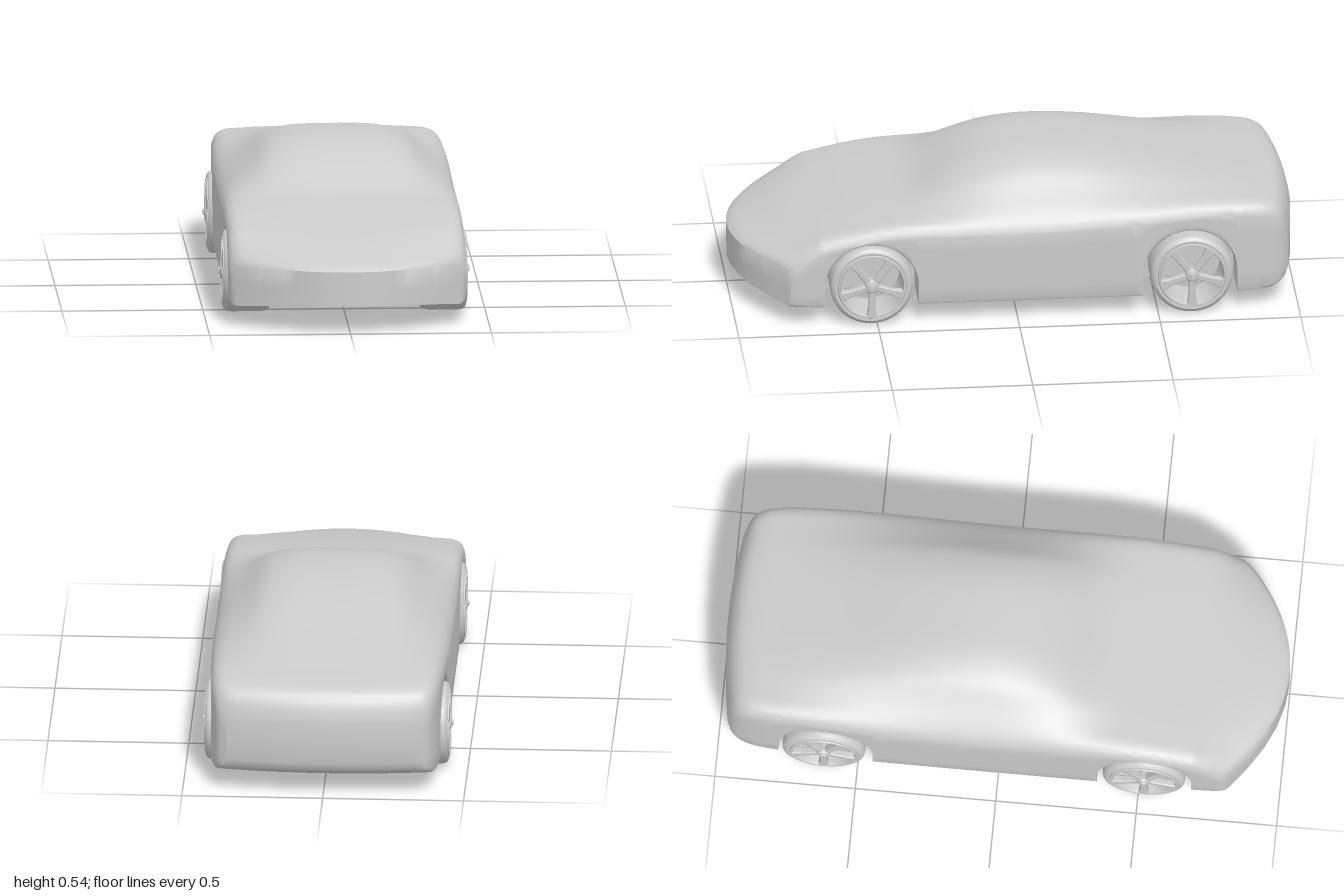
import * as THREE from 'three';
import { toCreasedNormals } from 'three/addons/utils/BufferGeometryUtils.js';

const grey = new THREE.MeshStandardMaterial({ color: 0xcccccc });

// Smooth interpolation through [x, y] points sorted by x
function curve(pts) {
  const slope = (i) => {
    const a = pts[Math.max(i - 1, 0)], b = pts[Math.min(i + 1, pts.length - 1)];
    return (b[1] - a[1]) / (b[0] - a[0]);
  };
  return (x) => {
    if (x <= pts[0][0]) return pts[0][1];
    let i = 0;
    while (i < pts.length - 2 && x > pts[i + 1][0]) i++;
    const [x0, y0] = pts[i], [x1, y1] = pts[i + 1], w = x1 - x0;
    const t = Math.min((x - x0) / w, 1), t2 = t * t, t3 = t2 * t;
    return (2 * t3 - 3 * t2 + 1) * y0 + (t3 - 2 * t2 + t) * w * slope(i)
      + (3 * t2 - 2 * t3) * y1 + (t3 - t2) * w * slope(i + 1);
  };
}

// Body outlines along z
const topLine = curve([[-1, 0.28], [-0.99, 0.325], [-0.975, 0.36], [-0.95, 0.387], [-0.9, 0.403], [-0.8, 0.42],
  [-0.6, 0.458], [-0.4, 0.503], [-0.3, 0.522], [-0.2, 0.535], [-0.1, 0.54], [0, 0.535], [0.1, 0.515], [0.2, 0.475],
  [0.3, 0.42], [0.35, 0.397], [0.4, 0.382], [0.5, 0.364], [0.6, 0.345], [0.8, 0.298], [0.9, 0.265], [0.98, 0.237], [1, 0.222]]);
const beltLine = curve([[-1, 0.275], [-0.99, 0.32], [-0.975, 0.355], [-0.95, 0.38], [-0.9, 0.397], [-0.7, 0.405],
  [-0.4, 0.385], [-0.1, 0.37], [0.2, 0.368], [0.4, 0.368], [0.5, 0.358], [0.6, 0.34], [0.8, 0.293], [0.9, 0.262], [0.98, 0.235], [1, 0.22]]);
const halfWidth = curve([[-1, 0.345], [-0.985, 0.368], [-0.96, 0.383], [-0.9, 0.397], [-0.8, 0.406], [-0.6, 0.415],
  [-0.4, 0.42], [0.9, 0.42], [0.97, 0.418], [1, 0.412]]);
const floorLine = curve([[-1, 0.13], [-0.99, 0.105], [-0.97, 0.086], [-0.93, 0.07], [-0.85, 0.065], [0.6, 0.065], [0.7, 0.067], [1, 0.1]]);

// Cross-section rules over x: cabin bulge and shoulder rounding
const bulge = curve([[0, 1], [0.06, 0.998], [0.13, 0.98], [0.19, 0.91], [0.25, 0.76], [0.32, 0.41], [0.38, 0.12], [0.41, 0.01], [0.42, 0]]);
const shoulder = curve([[0, 0], [0.36, 0], [0.385, -0.004], [0.4, -0.011], [0.412, -0.024], [0.42, -0.045]]);
const upperX = [0.42, 0.417, 0.412, 0.406, 0.4, 0.39, 0.38, 0.365, 0.35, 0.335, 0.32, 0.3, 0.28, 0.26, 0.24, 0.22, 0.19, 0.16, 0.13, 0.09, 0.045, 0];

const arches = [{ z: 0.52, y: 0.13, r: 0.168 }, { z: -0.615, y: 0.14, r: 0.168 }];
const wellX = 0.24;

function section(z) {
  const W = halfWidth(z), k = W / 0.42, base = floorLine(z);
  const floorAt = (x) => z > 0 ? 0.065 + (base - 0.065) * (1 - 0.8 * (x / 0.42) ** 2) : base;
  const arch = arches.find((a) => Math.abs(z - a.z) < a.r);
  const lift = arch ? arch.y + Math.sqrt(arch.r ** 2 - (z - arch.z) ** 2) : 0;
  const edge = (x) => Math.max(lift, floorAt(x));
  const half = [0, 0.08, 0.16, wellX].map((x) => [x, floorAt(x)]);
  // wheel well wall and roof, then rounded lower lip
  half.push([wellX, edge(wellX)], [0.32, edge(0.32)], [W - 0.014, edge(W)], [W - 0.004, edge(W) + 0.004]);
  const low = edge(W) + 0.013, belt = beltLine(z), high = belt + shoulder(0.42);
  for (let i = 0; i < 5; i++) half.push([W, low + (high - low) * i / 5]);
  for (const x of upperX) half.push([x * k, belt + shoulder(x) + (topLine(z) - belt) * bulge(x)]);
  const mirrored = half.slice(1, -1).reverse().map(([x, y]) => [-x, y]);
  return [...half, ...mirrored, half[0]];
}

// The nose bows strongly in plan, the tail only slightly
function bow(x, z) {
  if (z > 0.7) return 0.7 + (z - 0.7) * (1 - 0.667 * (x / 0.42) ** 2);
  if (z < -0.8) return -0.8 + (z + 0.8) * (1 - 0.175 * (x / 0.36) ** 2);
  return z;
}

function bodyGeometry() {
  const stations = [-1, -0.996, -0.99, -0.983, -0.975, -0.963, -0.95, -0.93, -0.9, -0.87, -0.84, -0.81, -0.8,
    0.7, 0.73, 0.77, 0.81, 0.85, 0.89, 0.93, 0.96, 0.98, 0.99, 1];
  for (let z = -0.42; z < 0.34; z += 0.03) stations.push(z);
  for (const a of arches) {
    stations.push(a.z - a.r, a.z + a.r);
    for (let i = 0; i <= 28; i++) stations.push(a.z + a.r * 0.9998 * Math.cos(Math.PI * i / 28));
  }
  stations.sort((a, b) => a - b);
  const rings = stations.map((z) => section(z).map(([x, y]) => [x, y, bow(x, z)]));
  // End faces: fold each end ring onto its mid height
  const fold = (ring, y) => ring.map(([x, , z]) => [x, y, z]);
  rings.unshift(fold(rings[0], 0.2));
  rings.push(fold(rings[rings.length - 1], 0.15));

  const n = rings[0].length, index = [];
  for (let i = 0; i < rings.length - 1; i++) {
    for (let j = 0; j < n - 1; j++) {
      const a = i * n + j, d = a + n;
      index.push(a, a + 1, d + 1, a, d + 1, d);
    }
  }
  const geo = new THREE.BufferGeometry();
  geo.setAttribute('position', new THREE.Float32BufferAttribute(rings.flat(2), 3));
  geo.setIndex(index);
  return toCreasedNormals(geo, 0.75);
}

function mesh(name, geo) {
  const m = new THREE.Mesh(geo, grey);
  m.name = name;
  return m;
}

// Closed ring turned about y, from [radius, y] points
function turned(points) {
  const loop = [...points, points[0]].map(([r, y]) => new THREE.Vector2(r, y));
  return toCreasedNormals(new THREE.LatheGeometry(loop, 56), 0.6);
}

// Wheel with its axle along y, outer face at +y
function createWheel() {
  const wheel = new THREE.Group();
  wheel.add(mesh('tyre', turned([[0.121, 0.268], [0.128, 0.265], [0.138, 0.27], [0.144, 0.282], [0.147, 0.3],
    [0.147, 0.405], [0.145, 0.418], [0.14, 0.426], [0.131, 0.431], [0.122, 0.43]])));
  wheel.add(mesh('rim', turned([[0.112, 0.275], [0.122, 0.275], [0.122, 0.428], [0.119, 0.434], [0.114, 0.434], [0.11, 0.424]])));
  wheel.add(mesh('hub', turned([[0, 0.39], [0.022, 0.39], [0.026, 0.43], [0.02, 0.438], [0.012, 0.44], [0.01, 0.445], [0, 0.446]])));

  const outline = new THREE.Shape([[-0.008, 0.015], [0.008, 0.015], [0.009, 0.08], [0.016, 0.115], [-0.016, 0.115], [-0.009, 0.08]]
    .map(([x, y]) => new THREE.Vector2(x, y)));
  const spokeGeo = new THREE.ExtrudeGeometry(outline, { depth: 0.018, bevelSize: 0.003, bevelThickness: 0.004, bevelSegments: 1 });
  spokeGeo.rotateX(-Math.PI / 2).translate(0, 0.412, 0);
  for (let i = 0; i < 5; i++) {
    const spoke = mesh('spoke', spokeGeo);
    spoke.rotation.y = i * Math.PI * 2 / 5;
    wheel.add(spoke);
  }
  return wheel;
}

export function createModel() {
  const car = new THREE.Group();
  car.name = 'sportsCar';
  car.add(mesh('body', bodyGeometry()));
  for (const [end, z] of [['front', 0.52], ['rear', -0.62]]) {
    for (const [side, s] of [['Left', 1], ['Right', -1]]) {
      const holder = new THREE.Group();
      holder.name = `${end}${side}Wheel`;
      const wheel = createWheel();
      wheel.rotation.y = -s * Math.PI / 2; // one spoke points straight up
      holder.add(wheel);
      holder.rotation.z = -s * Math.PI / 2;
      holder.position.set(0, 0.147, z);
      car.add(holder);
    }
  }
  return car;
}
